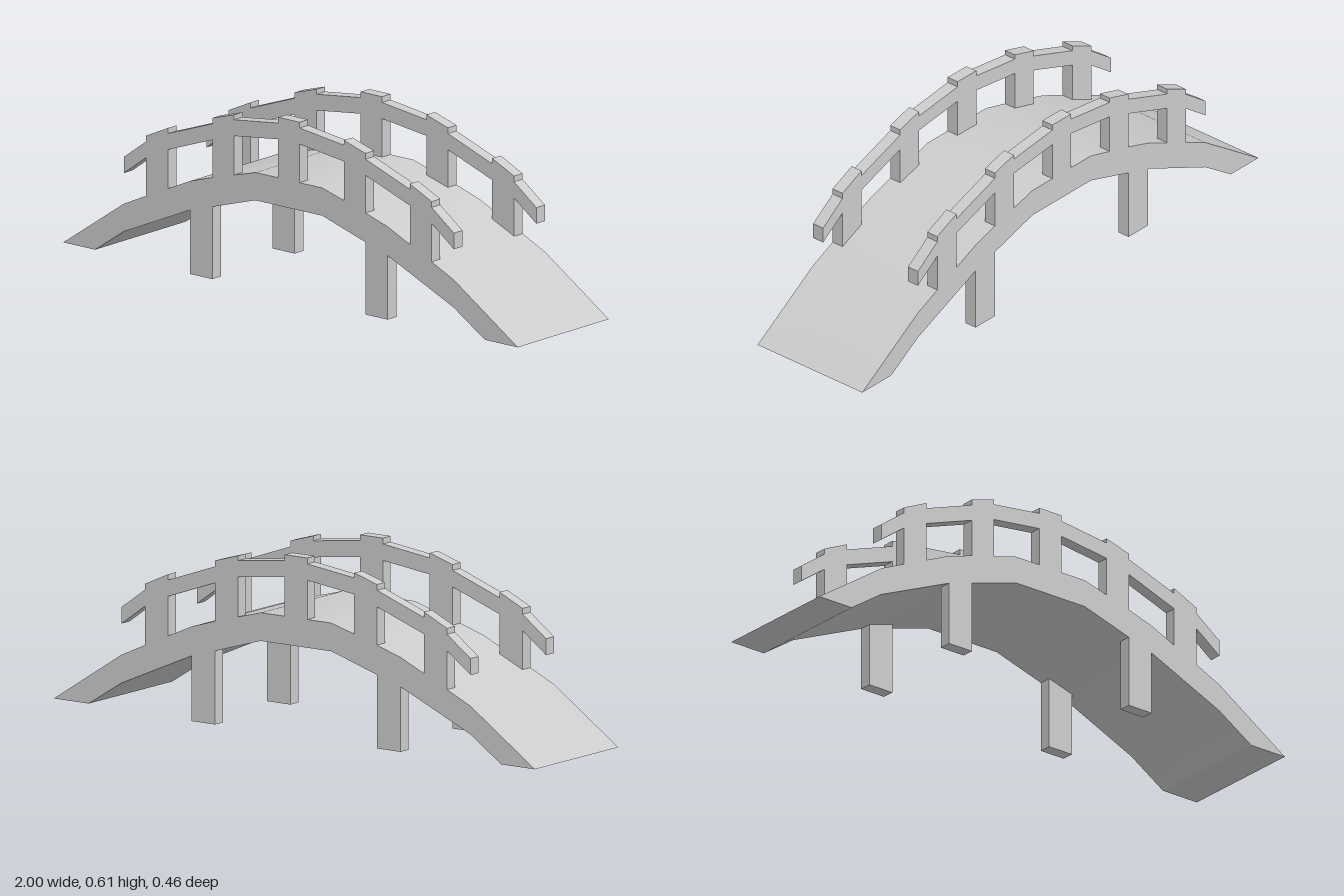
import * as THREE from 'three';
import { toCreasedNormals } from 'three/addons/utils/BufferGeometryUtils.js';

const CX = -0.007;      // centre of the arch
const HALF = 0.232;     // half width of the bridge
const THICK = 0.044;    // thickness of railings and legs

export function createModel() {
  const group = new THREE.Group();
  const material = new THREE.MeshStandardMaterial({ color: 0xcccccc });

  // Extrude an x-y outline from z0 to z1
  function slab(name, points, z0, z1) {
    const shape = new THREE.Shape(points.map(([x, y]) => new THREE.Vector2(x, y)));
    const geometry = new THREE.ExtrudeGeometry(shape, { depth: z1 - z0, bevelEnabled: false });
    geometry.translate(0, 0, z0);
    const mesh = new THREE.Mesh(toCreasedNormals(geometry, 0.5), material);
    mesh.name = name;
    group.add(mesh);
  }

  // Deck: half profiles as [distance from centre, height], centre outwards
  const top = [[0.147, 0.403], [0.337, 0.351], [0.435, 0.321], [0.628, 0.235], [0.726, 0.19]];
  const bottom = [[0.147, 0.307], [0.337, 0.25], [0.435, 0.221], [0.726, 0.094]];
  const left = (p) => p.map(([d, y]) => [CX + d, y]);
  const right = (p) => p.map(([d, y]) => [CX - d, y]);
  slab('deck', [
    [-1, 0.008], [-0.86, 0.008],
    ...right(bottom).reverse(), ...left(bottom),
    [0.855, 0.008], [1, 0.008],
    ...left(top).reverse(), ...right(top),
  ], -HALF, HALF);

  // Height on a polyline of [distance, height] points
  function heightAt(line, d) {
    for (let i = 1; i < line.length; i++) {
      const [a, ya] = line[i - 1], [b, yb] = line[i];
      if (d <= b) return ya + (yb - ya) * (d - a) / (b - a);
    }
    return line[line.length - 1][1];
  }
  const deckTop = [[0, 0.403], ...top];

  // Posts: inner and outer edge with cap heights; rails run between them
  const posts = [[0.242, 0.585, 0.337, 0.557], [0.532, 0.487, 0.628, 0.443]];
  const rails = [
    [0.047, 0.592, 0.242, 0.568],
    [0.337, 0.537, 0.532, 0.468],
    [0.628, 0.423, 0.726, 0.352],
  ];

  for (const side of [1, -1]) {
    const z0 = side > 0 ? HALF - THICK : -HALF;
    const z1 = z0 + THICK;

    slab('middlePost', [
      [CX - 0.047, 0.403], [CX + 0.047, 0.403], [CX + 0.047, 0.612], [CX - 0.047, 0.612],
    ], z0, z1);

    for (const mirror of [left, right]) {
      for (const [a, ya, b, yb] of posts) {
        const foot = [[a, heightAt(deckTop, a)], [b, heightAt(deckTop, b)]];
        slab('railingPost', mirror([...foot, [b, yb], [a, ya]]), z0, z1);
      }
      for (const [a, ya, b, yb] of rails) {
        slab('handrail', mirror([[a, ya - 0.056], [b, yb - 0.056], [b, yb], [a, ya]]), z0, z1);
      }
      // Support leg reaching up to the underside of the deck
      slab('supportLeg', mirror([[0.337, 0], [0.435, 0], [0.435, 0.221], [0.337, 0.25]]), z0, z1);
    }
  }
  return group;
}
